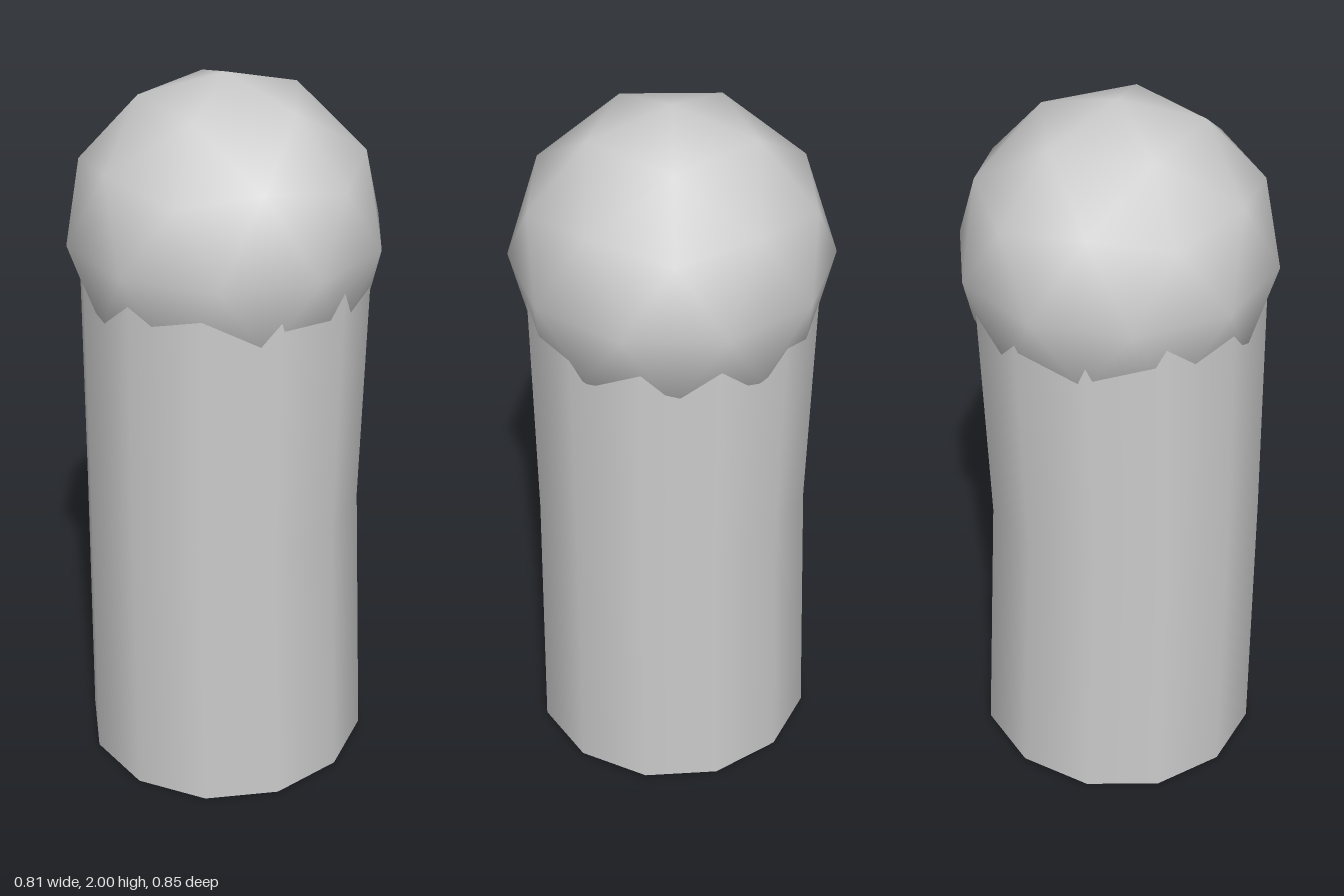
import * as THREE from 'three';

export function createModel() {
  const model = new THREE.Group();
  const grey = new THREE.MeshStandardMaterial({ color: 0xcccccc });
  grey.name = 'plain grey';

  // Twelve-sided shaft: three rings, slightly pinched at the middle, base tilted up at the back
  const rings = [
    { y: 0.0125, r: 0.4, z: 0, tilt: -0.031 },
    { y: 0.81, r: 0.381, z: 0.02, tilt: 0 },
    { y: 1.6, r: 0.391, z: 0.004, tilt: 0 },
  ];
  const shaftGeometry = new THREE.CylinderGeometry(1, 1, 2, 12, 2);
  const p = shaftGeometry.attributes.position;
  for (let i = 0; i < p.count; i++) {
    const ring = rings[Math.round(p.getY(i) + 1)];
    const z = p.getZ(i) * ring.r;
    p.setXYZ(i, p.getX(i) * ring.r, ring.y + z * ring.tilt, z + ring.z);
  }
  const shaft = new THREE.Mesh(shaftGeometry, grey);
  shaft.name = 'shaft';
  model.add(shaft);

  // Coarse round dome, one corner pointing straight up
  const domeGeometry = new THREE.IcosahedronGeometry(0.425, 1);
  domeGeometry.rotateZ(-Math.atan(2 / (1 + Math.sqrt(5))));
  const dome = new THREE.Mesh(domeGeometry, grey);
  dome.name = 'dome';
  dome.position.y = 1.575;
  model.add(dome);

  return model;
}
